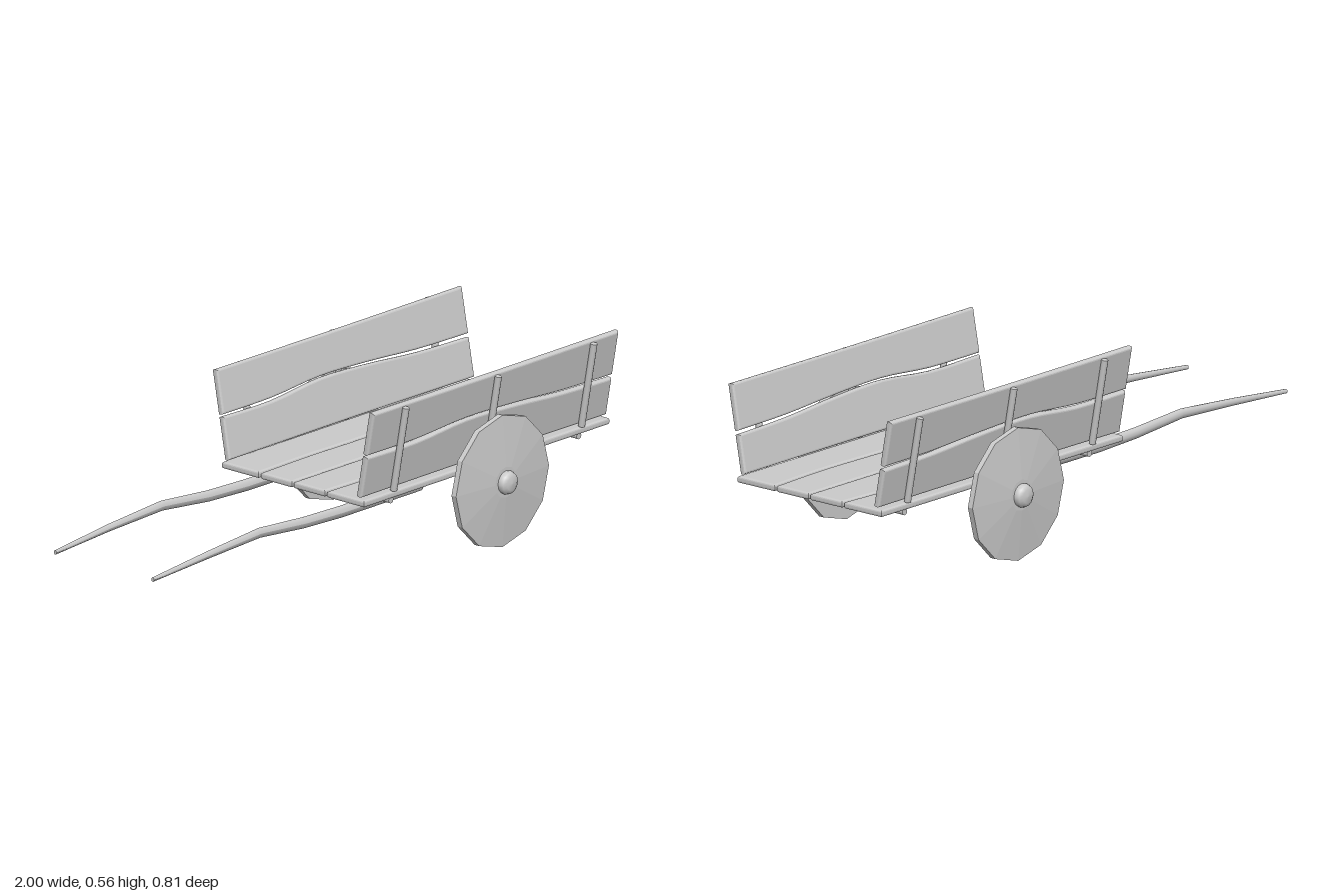
import * as THREE from 'three';

const X0 = -0.13, X1 = 1.0, WHEEL_X = 0.435, AXLE_Y = 0.215, LEAN = 0.184;

export function createModel() {
  const cart = new THREE.Group();
  const smooth = new THREE.MeshStandardMaterial({ color: 0xcccccc });
  const faceted = new THREE.MeshStandardMaterial({ color: 0xcccccc, flatShading: true });

  const add = (name, geometry, material = smooth) => {
    const mesh = new THREE.Mesh(geometry, material);
    mesh.name = name;
    cart.add(mesh);
    return mesh;
  };

  // Wavy plank in the xy plane, with rounded edges; low and high are offsets along each edge
  const plank = (low, high) => {
    const bevel = 0.007;
    const edge = (ys, inset) => new THREE.SplineCurve(ys.map((y, i) =>
      new THREE.Vector2(THREE.MathUtils.lerp(X0 + bevel, X1 - bevel, i / (ys.length - 1)), y + inset))).getPoints(20);
    const outline = [...edge(low, bevel), ...edge(high, -bevel).reverse()];
    const geometry = new THREE.ExtrudeGeometry(new THREE.Shape(outline), {
      depth: 0.008, bevelThickness: bevel, bevelSize: bevel, bevelSegments: 3,
    });
    return geometry.translate(0, 0, -0.004);
  };

  // Tapered shaft with a gentle bend; each station is x, y, z, half height, half width
  const stations = [
    [-1, 0.206, 0.203, 0.007, 0.006], [-0.75, 0.226, 0.205, 0.012, 0.009],
    [-0.51, 0.24, 0.203, 0.016, 0.011], [-0.3, 0.222, 0.199, 0.018, 0.013],
    [-0.13, 0.216, 0.198, 0.019, 0.014], [0.24, 0.215, 0.196, 0.019, 0.014],
  ];
  const shaft = (s) => {
    const n = stations.length - 1;
    const geometry = new THREE.CylinderGeometry(1, 1, n, 10, n).rotateZ(-Math.PI / 2);
    const p = geometry.attributes.position;
    for (let i = 0; i < p.count; i++) {
      const [x, y, z, ry, rz] = stations[Math.round(p.getX(i) + n / 2)];
      p.setXYZ(i, x, y + p.getY(i) * ry, s * z + p.getZ(i) * rz);
    }
    geometry.computeVertexNormals();
    return geometry;
  };

  for (const s of [1, -1]) {
    const side = s > 0 ? 'left' : 'right';

    // Floor planks
    add(side + 'InnerFloorPlank', plank([0.004, 0.004], [0.133, 0.139, 0.135, 0.141, 0.146, 0.134])
      .rotateX(s * Math.PI / 2).translate(0, 0.26, 0));
    add(side + 'OuterFloorPlank', plank([0.143, 0.148, 0.144, 0.15, 0.155, 0.143], [0.296, 0.296])
      .rotateX(s * Math.PI / 2).translate(0, 0.26, 0));

    // Leaning side planks
    add(side + 'LowerSidePlank', plank([0, 0.002, 0], [0.138, 0.136, 0.155, 0.148, 0.132, 0.126])
      .rotateX(s * LEAN).translate(0, 0.28, s * 0.274));
    add(side + 'UpperSidePlank', plank([0.145, 0.146, 0.161, 0.155, 0.142, 0.138], [0.288, 0.286, 0.287])
      .rotateX(s * LEAN).translate(0, 0.28, s * 0.274));

    // Posts outside the planks
    for (const x of [0.01, WHEEL_X, 0.875]) {
      add(side + 'Post', new THREE.CylinderGeometry(0.011, 0.011, 0.284, 8).translate(0, 0.142, 0)
        .rotateX(s * LEAN).translate(x, 0.273, s * 0.293));
    }

    add(side + 'Shaft', shaft(s));

    // Solid wheel, slightly dished on the outside
    const rim = [[0, 0.343], [0.214, 0.343], [0.214, 0.362], [0.05, 0.377], [0, 0.377]]
      .map(([r, d]) => new THREE.Vector2(r, d));
    const lay = (geometry) => geometry.rotateX(s * Math.PI / 2).translate(WHEEL_X, AXLE_Y, 0);
    add(side + 'Wheel', lay(new THREE.LatheGeometry(rim, 12)), faceted);

    // Inner collar and rounded hub cap
    add(side + 'WheelCollar', lay(new THREE.CylinderGeometry(0.06, 0.06, 0.016, 12).translate(0, 0.336, 0)));
    const cap = [[0.037, 0.37], [0.038, 0.385], [0.034, 0.395], [0.022, 0.402], [0, 0.404]]
      .map(([r, d]) => new THREE.Vector2(r, d));
    add(side + 'HubCap', lay(new THREE.LatheGeometry(cap, 16)));
  }

  // Axle and floor bearers
  add('axle', new THREE.CylinderGeometry(0.0125, 0.0125, 0.67, 10).rotateX(Math.PI / 2)
    .translate(WHEEL_X, AXLE_Y, 0));
  for (const x of [0.01, 0.875]) {
    add('floorBearer', new THREE.CylinderGeometry(0.0115, 0.0115, 0.564, 8).rotateX(Math.PI / 2)
      .translate(x, 0.239, 0));
  }
  return cart;
}
